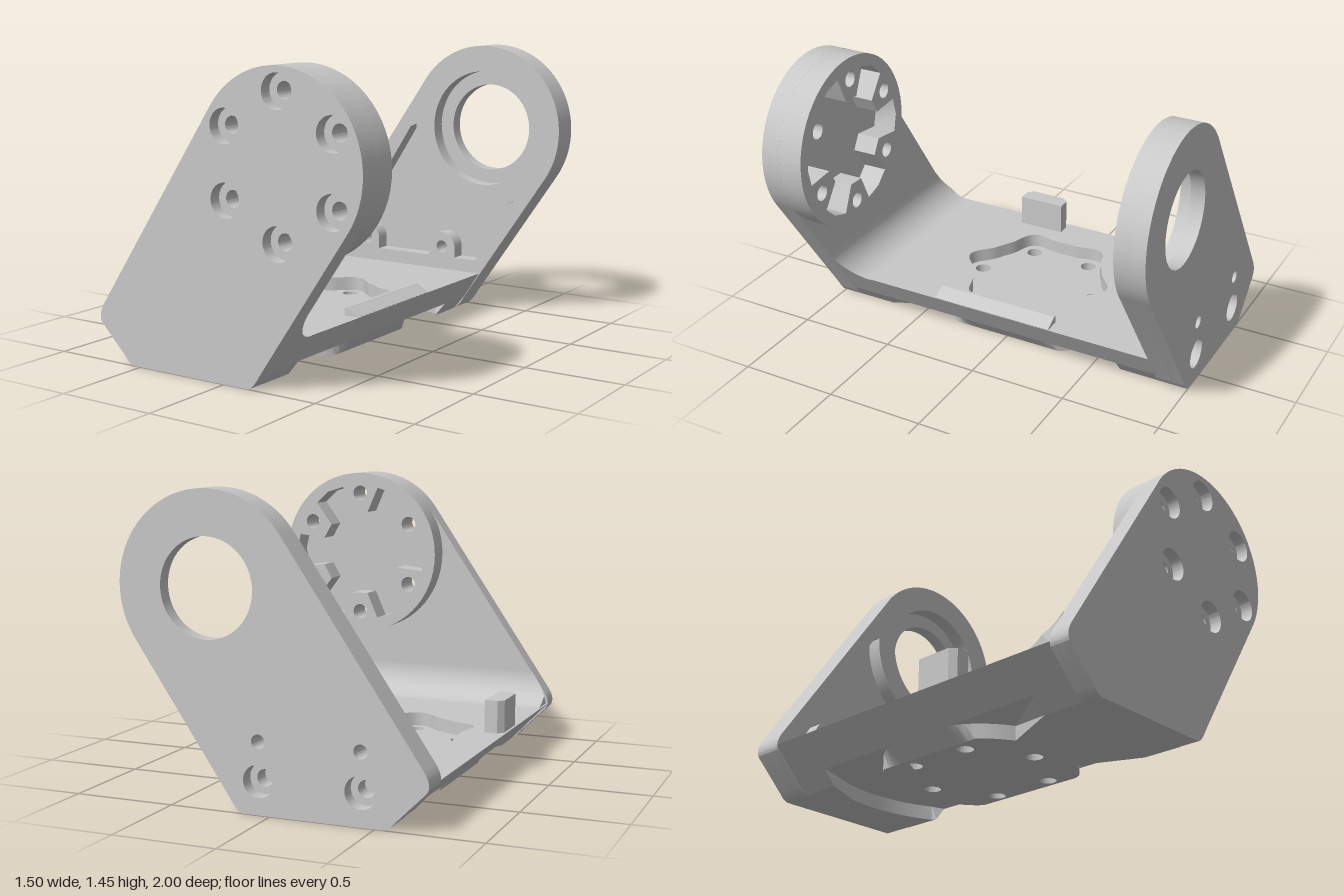
import * as THREE from 'three';
import { toCreasedNormals } from 'three/addons/utils/BufferGeometryUtils.js';

const CX = 0.305, CY = 1.005, R = 0.44;   // pivot axis and head radius
const PX = -0.2;                          // centre of the base bolt pattern
const DEG = Math.PI / 180;

const shapeOf = pts => new THREE.Shape(pts.map(p => new THREE.Vector2(p[0], p[1])));
// holes run counter-clockwise so that their walls face inwards
const circle = (x, y, r) => new THREE.Path().absarc(x, y, r, 0, Math.PI * 2, false);
const ring = (x, y, r) => [30, 90, 150, 210, 270, 330].map(a => [x + r * Math.cos(a * DEG), y + r * Math.sin(a * DEG)]);

export function createModel() {
  const group = new THREE.Group();
  const grey = new THREE.MeshStandardMaterial({ color: 0xc8c8c8 });
  grey.name = 'machined grey';

  const add = (name, geo) => {
    const mesh = new THREE.Mesh(toCreasedNormals(geo, 0.5), grey);
    mesh.name = name;
    group.add(mesh);
  };
  const extrude = (shape, depth, holes = []) => {
    shape.holes.push(...holes);
    return new THREE.ExtrudeGeometry(shape, { depth, bevelEnabled: false, curveSegments: 32 });
  };
  // upright plate between two z values
  const plate = (name, shape, z0, z1, holes) => add(name, extrude(shape, z1 - z0, holes).translate(0, 0, z0));
  const bend = (geo, rule) => {
    const p = geo.attributes.position;
    for (let i = 0; i < p.count; i++) p.setX(i, rule(p.getX(i), p.getY(i)));
    geo.computeVertexNormals();
    return geo;
  };
  // flat slab drawn in (x, z), its sides clamped to the sloping edges of the base
  const slab = (name, shape, y0, y1, holes) => {
    const geo = extrude(shape, y1 - y0, holes).rotateX(Math.PI / 2).translate(0, y1, 0);
    add(name, bend(geo, (x, y) => {
      const right = y < 0.05 ? 0.14 : 0.197 + (y - 0.07) * 0.66;
      const left = -0.55 - 0.2 * y / 0.21;
      return Math.min(right, Math.max(left, x));
    }));
  };

  // slanted side profile shared by both legs
  const outline = () => {
    const s = new THREE.Shape();
    s.moveTo(-0.53, 0);
    s.quadraticCurveTo(-0.565, 0, -0.59, 0.035);
    s.lineTo(-0.735, 0.18);
    s.quadraticCurveTo(-0.765, 0.215, -0.722, 0.28);
    s.absarc(CX, CY, R, 145.7 * DEG, -34.3 * DEG, true);
    s.lineTo(0.2, 0.07);
    s.quadraticCurveTo(0.16, 0, 0.13, 0);
    s.closePath();
    return s;
  };

  // front leg: counterbored outside, clearance holes inside
  const bolts = ring(CX, CY, 0.33);
  plate('frontLegOuter', outline(), 0.94, 1, bolts.map(b => circle(b[0], b[1], 0.08)));
  plate('frontLegInner', outline(), 0.9, 0.94, bolts.map(b => circle(b[0], b[1], 0.04)));

  // round coupling boss with a six-armed socket
  const socket = [];
  for (let k = 0; k < 6; k++) {
    for (const [a, r] of [[-14, 0.375], [0, 0.385], [14, 0.375], [19, 0.23], [41, 0.23]]) {
      const t = (k * 60 + a) * DEG;
      socket.push(new THREE.Vector2(CX + r * Math.cos(t), CY + r * Math.sin(t)));
    }
  }
  plate('couplingBoss', new THREE.Shape().absarc(CX, CY, R, 0, Math.PI * 2, false), 0.775, 0.9,
    [new THREE.Path(socket), ...bolts.map(b => circle(b[0], b[1], 0.04))]);

  // curved fillet joining the base and the front leg
  const f = new THREE.Shape();
  f.moveTo(-0.9, 0.2);
  f.lineTo(-0.9, 0.38);
  f.absarc(-0.73, 0.38, 0.17, Math.PI, Math.PI * 1.5, false);
  f.lineTo(-0.73, 0.2);
  f.closePath();
  add('legFillet', bend(extrude(f, 1).rotateY(Math.PI / 2), (x, y) => x < 0.5
    ? -0.74 + Math.max(0, y - 0.26) * 0.684
    : 0.198 + (y - 0.07) * 0.684));

  // back leg: through bore, bearing seat and screw holes
  const screwX = [0.055, -0.435];
  const LUG_Y = 0.335;
  const lugHoles = () => screwX.map(x => circle(x, LUG_Y, 0.033));
  plate('backLegOuter', outline(), -1, -0.93,
    [circle(CX, CY, 0.23), ...screwX.map(x => circle(x, 0.155, 0.075)), ...lugHoles()]);
  // lightening pocket that leaves two round lugs standing
  const pocket = new THREE.Path();
  pocket.moveTo(-0.6, 0.28);
  pocket.lineTo(0.26, 0.28);
  pocket.lineTo(0.46, 0.57);
  pocket.absarc(CX, CY, 0.42, -64 * DEG, -180 * DEG, true);
  pocket.lineTo(-0.15, 0.99);
  pocket.closePath();
  plate('backLegInner', outline(), -0.93, -0.85,
    [circle(CX, CY, 0.305), pocket, ...screwX.map(x => circle(x, 0.155, 0.04))]);
  screwX.forEach(x => {
    const lug = new THREE.Shape();
    lug.moveTo(x - 0.08, 0.28);
    lug.lineTo(x + 0.08, 0.28);
    lug.absarc(x, LUG_Y, 0.08, 0, Math.PI, false);
    lug.closePath();
    plate('screwLug', lug, -0.93, -0.85, [circle(x, LUG_Y, 0.033)]);
  });

  // base: pocketed top layer, drilled floor, and raised pads below
  const full = () => shapeOf([[-0.75, -0.85], [0.3, -0.85], [0.3, 0.9], [-0.75, 0.9]]);
  const baseBolts = ring(PX, 0.005, 0.328);
  const drilled = () => baseBolts.map(b => circle(b[0], b[1], 0.04));
  const star = [];
  for (let i = 0; i < 96; i++) {
    const t = i / 96 * Math.PI * 2, u = 6 * (t - Math.PI / 2);
    const r = 0.3645 + 0.0325 * Math.cos(u) + 0.008 * Math.cos(2 * u);
    star.push(new THREE.Vector2(PX + r * Math.cos(t), 0.005 + r * Math.sin(t)));
  }
  slab('baseTop', full(), 0.14, 0.21, [new THREE.Path(star)]);
  slab('baseFloor', full(), 0.07, 0.14, drilled());
  slab('roundPad', new THREE.Shape().absarc(PX, 0, 0.46, 0, Math.PI * 2, false), 0, 0.07, drilled());
  slab('frontPad', shapeOf([[-0.75, 0.9], [-0.75, 0.7], [-0.41, 0.405], [0.01, 0.405], [0.3, 0.7], [0.3, 0.9]]), 0, 0.07);
  // rear pad with a concave arc; its two end points slide along the sloping sides
  const arc = [[0.3, -0.85], [-0.75, -0.85], [-0.75, -0.64]];
  for (let i = 0; i <= 20; i++) {
    const x = -0.53 + 0.66 * i / 20;
    arc.push([x, -Math.sqrt(0.74 ** 2 - (x - PX) ** 2)]);
  }
  arc.push([0.3, -0.64]);
  slab('backPad', shapeOf(arc), 0, 0.07);

  // sloping lip along one edge and stop tab on the other
  plate('edgeLip', shapeOf([[0.205, 0.19], [0.274, 0.19], [0.288, 0.212], [0.22, 0.25], [0.205, 0.25]]), -0.31, 0.335);
  const tab = shapeOf([[-0.645, 0.09], [-0.645, 0.335], [-0.71, 0.335], [-0.738, 0.305], [-0.738, 0.12], [-0.71, 0.09]]);
  add('stopTab', extrude(tab, 0.17).rotateX(Math.PI / 2).translate(0, 0.372, 0));

  return group;
}
